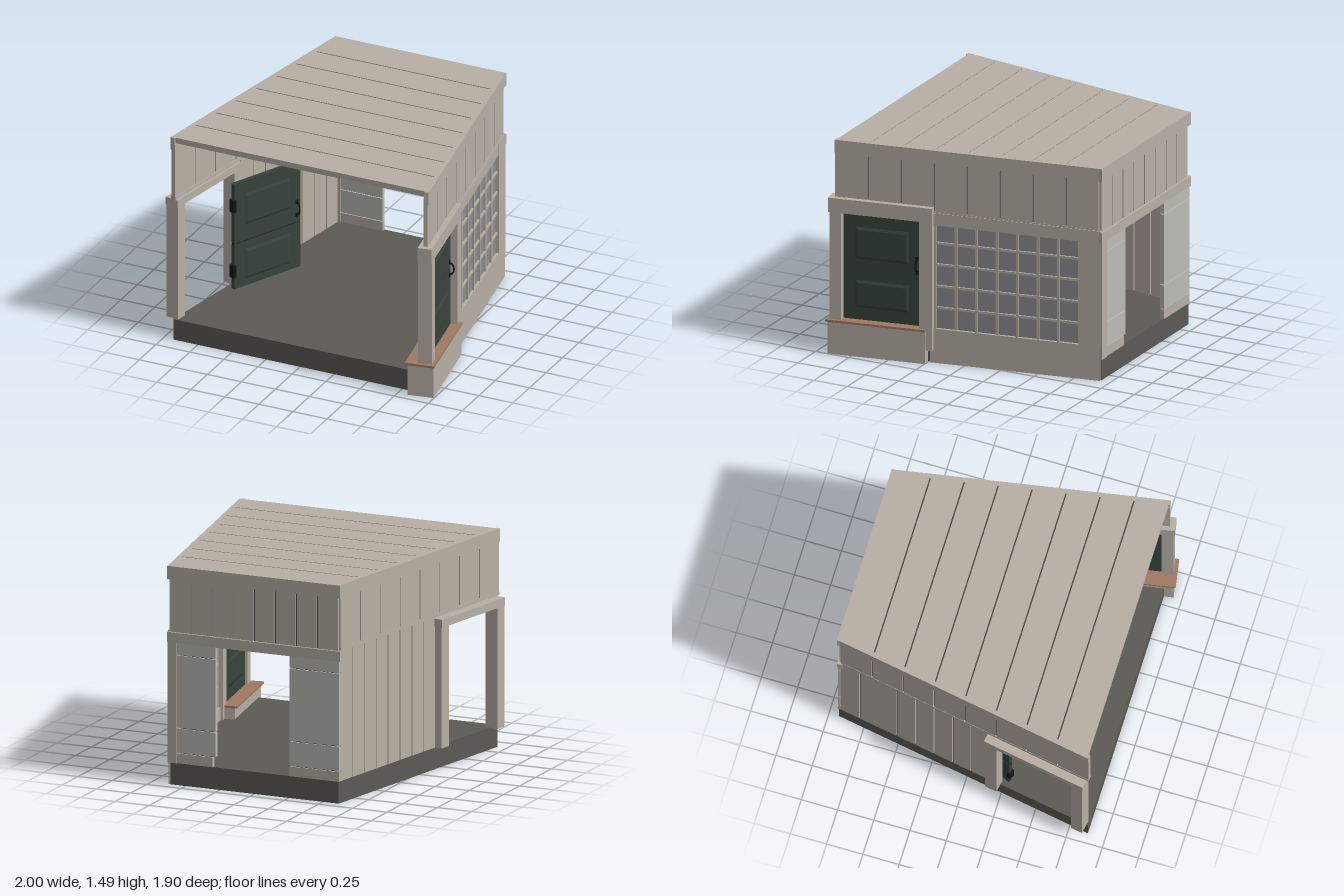
import * as THREE from 'three';

const mat = (color) => new THREE.MeshStandardMaterial({ color });
const M = {
  wall: mat(0xb8b0a6), groove: mat(0x4c4945), floor: mat(0x5c5a55), door: mat(0x38443b),
  iron: mat(0x151515), wood: mat(0xa07a62), shutter: mat(0xbcbdb5), glass: mat(0x8e8d92), dark: mat(0x0c0c0c),
};
const TILT = 0.1745; // both side walls splay outwards to the front

// box given by its limits; x limits may come in either order
function box(parent, name, x0, x1, y0, y1, z0, z1, m = M.wall) {
  const g = new THREE.BoxGeometry(Math.abs(x1 - x0), y1 - y0, z1 - z0);
  const mesh = new THREE.Mesh(g, m);
  mesh.position.set((x0 + x1) / 2, (y0 + y1) / 2, (z0 + z1) / 2);
  mesh.name = name;
  parent.add(mesh);
  return mesh;
}

// horizontal slab from [x, z] corners
function slab(parent, name, pts, y0, y1, m) {
  const shape = new THREE.Shape(pts.map(([x, z]) => new THREE.Vector2(x, -z)));
  const g = new THREE.ExtrudeGeometry(shape, { depth: y1 - y0, bevelEnabled: false });
  g.rotateX(-Math.PI / 2).translate(0, y0, 0);
  const mesh = new THREE.Mesh(g, m);
  mesh.name = name;
  parent.add(mesh);
}

const edge = (z, inset) => 0.79 + 0.176 * z - inset;
const trapezoid = (z0, z1, inset) => [
  [-edge(z0, inset), z0], [-edge(z1, inset), z1], [edge(z1, inset), z1], [edge(z0, inset), z0],
];

// row of upright boards along z with a dark core showing in the joints
function boards(parent, name, x0, x1, y0, y1, z0, z1, n, gap = 0.009) {
  const step = (z1 - z0) / n;
  const mid = (x0 + x1) / 2;
  box(parent, name + 'Core', mid - 0.006, mid + 0.006, y0, y1, z0 + 0.004, z1 - 0.004, M.groove);
  for (let i = 0; i < n; i++) {
    const a = z0 + i * step + (i ? gap / 2 : 0);
    const b = z0 + (i + 1) * step - (i < n - 1 ? gap / 2 : 0);
    box(parent, name, x0, x1, y0, y1, a, b);
  }
}

// door leaf reaching from its hinge at z = 0 to z = -w, alike on both faces
function makeDoor(w, h, panels, seam, handleY) {
  const door = new THREE.Group();
  const t = 0.016;
  if (seam) {
    box(door, 'lowerLeaf', -t, t, 0, seam - 0.004, -w, 0, M.door);
    box(door, 'upperLeaf', -t, t, seam + 0.004, h, -w, 0, M.door);
    box(door, 'leafJoint', -t + 0.006, t - 0.006, seam - 0.01, seam + 0.01, -w, 0, M.iron);
  } else box(door, 'doorLeaf', -t, t, 0, h, -w, 0, M.door);
  for (const s of [-1, 1]) {
    for (const [y0, y1] of panels) {
      const pw = w * 0.69, ph = y1 - y0;
      const rect = new THREE.Shape();
      const a = pw / 2 - 0.02, b = ph / 2 - 0.02;
      rect.moveTo(-a, -b).lineTo(a, -b).lineTo(a, b).lineTo(-a, b).closePath();
      const g = new THREE.ExtrudeGeometry(rect, {
        depth: 0.001, bevelThickness: 0.008, bevelSize: 0.02, bevelSegments: 1,
      });
      const panel = new THREE.Mesh(g, M.door);
      panel.rotation.y = s * Math.PI / 2;
      panel.position.set(s * t, (y0 + y1) / 2, -w / 2);
      panel.name = 'raisedPanel';
      door.add(panel);
    }
    // pull handle
    const zh = -w + 0.03;
    const curve = new THREE.CatmullRomCurve3([[0, -0.045], [0.024, -0.03], [0.032, 0], [0.024, 0.03], [0, 0.045]]
      .map(([x, y]) => new THREE.Vector3(s * (t + x), handleY + y, zh)));
    const handle = new THREE.Mesh(new THREE.TubeGeometry(curve, 12, 0.006, 6), M.iron);
    handle.name = 'handle';
    door.add(handle);
    for (const dy of [-0.048, 0.048])
      box(door, 'handlePlate', s * t, s * (t + 0.004), handleY + dy - 0.014, handleY + dy + 0.014, zh - 0.01, zh + 0.01, M.iron);
  }
  return door;
}

export function createModel() {
  const root = new THREE.Group();

  // floor
  slab(root, 'floor', [[-0.93, 0.88], [0.92, 0.88], [0.61, -0.93], [-0.615, -0.93]], 0, 0.15, M.floor);

  // roof with planks laid across
  slab(root, 'roofDeck', trapezoid(-0.93, 0.88, 0.004), 1.45, 1.478, M.wall);
  slab(root, 'roofJoints', trapezoid(-0.92, 0.875, 0.02), 1.477, 1.483, M.groove);
  const joints = [-0.932, -0.68, -0.457, -0.235, -0.013, 0.21, 0.432, 0.655, 0.885];
  for (let i = 0; i < 8; i++)
    slab(root, 'roofPlank', trapezoid(joints[i] + 0.005, joints[i + 1] - 0.005, 0.015), 1.476, 1.49, M.wall);

  // side walls share an upper boarded band and a roof trim
  const sides = {};
  for (const s of [1, -1]) {
    const wall = new THREE.Group();
    wall.name = s > 0 ? 'leftSideWall' : 'rightSideWall';
    wall.position.x = s * 0.79;
    wall.rotation.y = s * TILT;
    boards(wall, 'upperBoard', s * -0.035, s * -0.006, 1.04, 1.44, -0.93, 0.9, 8);
    box(wall, 'roofTrim', s * -0.03, s * 0.002, 1.4, 1.49, -0.945, 0.9);
    box(wall, 'bandRail', s * -0.04, s * -0.004, 1.035, 1.06, -0.93, 0.9);
    root.add(wall);
    sides[s] = wall;
  }

  // side wall with the lattice window
  const L = sides[1];
  box(L, 'wallBelowWindow', -0.05, 0, 0, 0.24, -0.94, 0.24);
  box(L, 'wallAboveWindow', -0.05, 0, 0.965, 1.05, -0.94, 0.24);
  box(L, 'rearCornerPost', -0.05, 0.002, 0.24, 1.05, -0.945, -0.79);
  box(L, 'windowPane', -0.024, -0.02, 0.24, 0.965, -0.79, 0.22, M.glass);
  box(L, 'windowPaneInside', -0.028, -0.024, 0.24, 0.965, -0.79, 0.22, M.dark);
  for (let i = 0; i < 7; i++) {
    const z = 0.205 - i * 0.1425;
    box(L, 'uprightBar', -0.04, -0.006, 0.24, 0.965, z - 0.008, z + 0.008);
  }
  for (const y of [0.385, 0.535, 0.687, 0.838])
    box(L, 'crossBar', -0.038, -0.008, y - 0.008, y + 0.008, -0.79, 0.22);

  // closed door with raised base and wooden sill
  box(L, 'doorBase', -0.135, 0.045, 0, 0.225, 0.26, 0.935);
  box(L, 'doorSill', -0.15, 0.052, 0.225, 0.24, 0.26, 0.95, M.wood);
  box(L, 'frontDoorPost', -0.065, 0.03, 0.24, 1.0, 0.845, 0.925);
  box(L, 'rearDoorPost', -0.065, 0.03, 0.09, 1.0, 0.215, 0.305);
  box(L, 'doorLintel', -0.065, 0.032, 0.99, 1.09, 0.215, 0.935);
  const closed = makeDoor(0.54, 0.75, [[0.425, 0.65], [0.085, 0.275]], 0, 0.42);
  closed.name = 'closedDoor';
  closed.position.set(-0.034, 0.24, 0.845);
  L.add(closed);

  // boarded side wall with the open doorway
  const R = sides[-1];
  boards(R, 'lowerBoard', 0.045, 0.008, 0.15, 1.04, -0.93, 0.17, 8);
  box(R, 'rearDoorPost', 0.045, -0.045, 0.15, 0.98, 0.16, 0.245);
  box(R, 'frontDoorPost', 0.045, -0.05, 0.15, 0.98, 0.8, 0.88);
  box(R, 'doorLintel', 0.045, -0.052, 0.975, 1.03, 0.155, 0.885);
  const open = makeDoor(0.56, 0.77, [[0.45, 0.68], [0.05, 0.27]], 0.33, 0.435);
  open.name = 'openDoor';
  open.position.set(-0.775, 0.15, 0.3);
  open.rotation.y = -0.44;
  for (const y of [0.13, 0.61]) box(open, 'hinge', -0.022, 0.022, y - 0.045, y + 0.045, -0.012, 0.012, M.iron);
  root.add(open);

  // back wall: boarded band above, two shutters beside the opening below
  const back = new THREE.Group();
  back.name = 'backWall';
  const band = new THREE.Group();
  band.name = 'upperBand';
  band.rotation.y = Math.PI / 2;
  boards(band, 'upperBoard', 0.9, 0.928, 1.03, 1.44, -0.61, 0.61, 8);
  back.add(band);
  box(back, 'roofTrim', -0.63, 0.63, 1.4, 1.49, -0.942, -0.91);
  box(back, 'lintel', -0.63, 0.63, 0.97, 1.04, -0.942, -0.9);
  box(back, 'cornerPost', 0.56, 0.625, 0.15, 0.97, -0.942, -0.9);
  box(back, 'innerPost', -0.61, -0.57, 0.15, 0.97, -0.92, -0.895);
  const rows = [[0.15, 0.217], [0.222, 0.387], [0.393, 0.885], [0.89, 0.97]];
  for (const [x0, x1] of [[-0.62, -0.26], [0.28, 0.56]]) {
    box(back, 'shutterCore', x0 + 0.02, x1 - 0.02, 0.15, 0.97, -0.925, -0.915, M.groove);
    rows.forEach(([y0, y1], i) =>
      box(back, i ? 'shutterBoard' : 'shutterRail', x0 > 0 && !i ? 0.3 : x0, x1, y0, y1, -0.935, -0.905, i ? M.shutter : M.wall));
  }
  root.add(back);
  return root;
}
